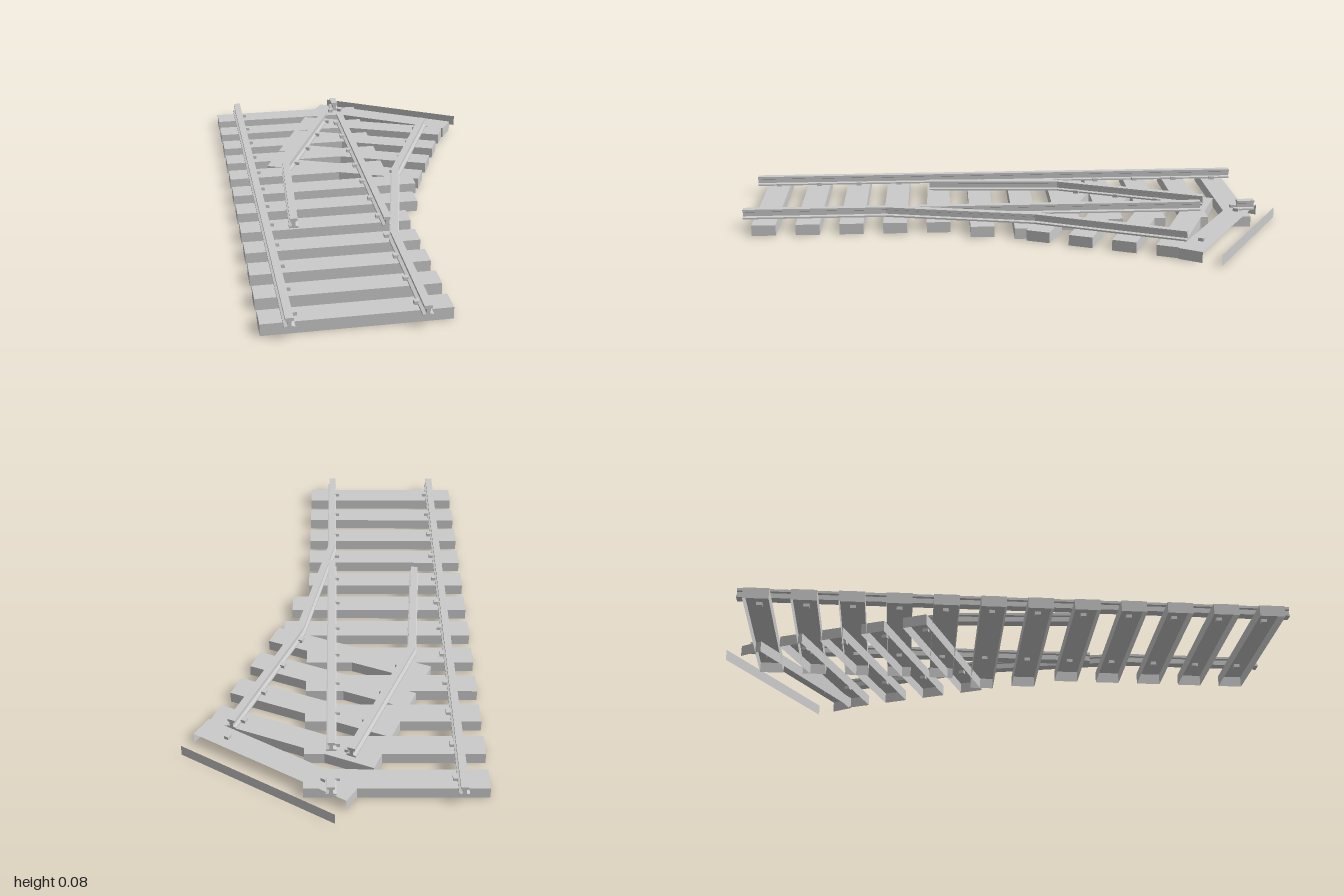
import * as THREE from 'three';

const SLEEPER_H = 0.04, SLEEPER_W = 0.088, SLEEPER_L = 0.6;
const ANGLE = Math.PI / 8; // direction of the branch track

const grey = new THREE.MeshStandardMaterial({ color: 0xcccccc, flatShading: true, side: THREE.DoubleSide });

// I-shaped rail section, half of it listed from foot to head
const half = [[0.017, 0.04], [0.017, 0.046], [0.006, 0.049], [0.006, 0.064], [0.013, 0.067], [0.013, 0.076]];
const railShape = new THREE.Shape([
  ...half.map(([x, y]) => new THREE.Vector2(x, y)),
  ...half.slice().reverse().map(([x, y]) => new THREE.Vector2(-x, y)),
]);

// Sweeps the rail section along [x, z] points, with mitred bends
function rail(name, path) {
  const n = path.length;
  const pts = path.map(([x, z]) => new THREE.Vector2(x, z));
  const dirs = pts.slice(1).map((p, i) => p.clone().sub(pts[i]).normalize());
  const sides = pts.map((p, i) => {
    const a = dirs[Math.max(i - 1, 0)], b = dirs[Math.min(i, n - 2)];
    const d = a.clone().add(b).normalize();
    return new THREE.Vector2(d.y, -d.x).divideScalar(d.dot(a));
  });
  const geo = new THREE.ExtrudeGeometry(railShape, { depth: n - 1, steps: n - 1, bevelEnabled: false });
  const pos = geo.attributes.position;
  for (let i = 0; i < pos.count; i++) {
    const k = Math.round(pos.getZ(i)), x = pos.getX(i);
    pos.setXYZ(i, pts[k].x + sides[k].x * x, pos.getY(i), pts[k].y + sides[k].y * x);
  }
  geo.computeVertexNormals();
  const mesh = new THREE.Mesh(geo, grey);
  mesh.name = name;
  return mesh;
}

function panel(name, w, h, x, y, z, rx = 0, ry = 0) {
  const mesh = new THREE.Mesh(new THREE.PlaneGeometry(w, h), grey);
  mesh.name = name;
  mesh.position.set(x, y, z);
  mesh.rotation.set(rx, ry, 0);
  return mesh;
}

// Hollow sleeper, open below, with two rail clips; extra lengthens its right end,
// backGap moves its back wall outwards
function sleeper(name, x, z, angle = 0, extra = 0, backGap = 0) {
  const g = new THREE.Group();
  g.name = name;
  const L = SLEEPER_L + extra, c = extra / 2, h = SLEEPER_H, w = SLEEPER_W;
  g.add(
    panel('sleeperTop', L, w, c, h, 0, -Math.PI / 2),
    panel('sleeperFrontWall', L, h, c, h / 2, w / 2),
    panel('sleeperBackWall', L, h, c, h / 2, -w / 2 - backGap, 0, Math.PI),
    panel('sleeperRightEnd', w, h, c + L / 2, h / 2, 0, 0, Math.PI / 2),
    panel('sleeperLeftEnd', w, h, c - L / 2, h / 2, 0, 0, -Math.PI / 2),
  );
  for (const s of [-1, 1]) {
    const clip = new THREE.Mesh(new THREE.BoxGeometry(0.017, 0.024, 0.02), grey);
    clip.name = 'railClip';
    clip.position.set(s * 0.19, 0.04, 0);
    g.add(clip);
  }
  g.position.set(x, 0, z);
  g.rotation.y = -angle;
  return g;
}

export function createModel() {
  const model = new THREE.Group();
  model.name = 'railwaySwitch';

  // Straight track sleepers, two of them lengthened under the branch
  const extras = { 5: 0.088, 6: 0.06 };
  for (let i = 0; i < 12; i++) {
    model.add(sleeper('mainSleeper', -0.207, -0.845 + i * 0.16, 0, extras[i] || 0));
  }

  // Branch sleepers
  for (let i = 0; i < 4; i++) {
    const d = i * 0.16;
    model.add(sleeper('branchSleeper', -0.06 + d * Math.sin(ANGLE), -0.197 - d * Math.cos(ANGLE), ANGLE));
  }
  // Last branch sleeper, turned further, with its back wall standing off
  model.add(sleeper('endSleeper', 0.187, -0.75, 0.55, 0, 0.07));

  // Rails
  model.add(
    rail('outerMainRail', [[-0.42, 1], [-0.42, -0.92]]),
    rail('innerMainRail', [[0.003, 0.355], [0.003, -0.715]]),
    rail('innerMainRailEnd', [[0.003, -0.855], [0.003, -0.92]]),
    rail('outerBranchRail', [[0.003, 1], [0.003, 0.47], [0.118, -0.08], [0.34, -0.602]]),
    rail('innerBranchRail', [[-0.322, 0.31], [-0.288, -0.2], [-0.062, -0.74]]),
  );
  return model;
}
